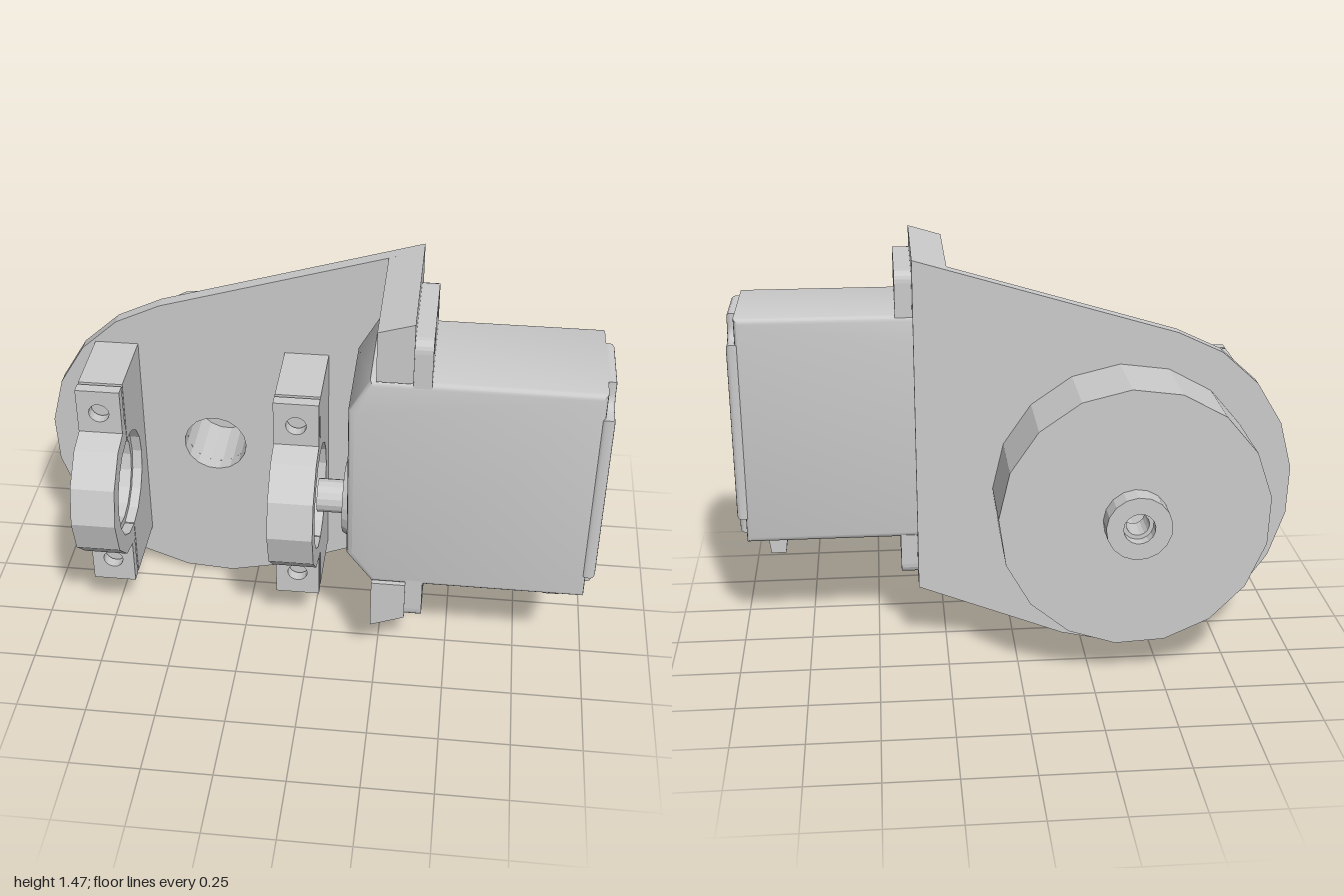
import * as THREE from 'three';
import { toCreasedNormals } from 'three/addons/utils/BufferGeometryUtils.js';

const material = new THREE.MeshStandardMaterial({ color: 0xcccccc, flatShading: true });
const smooth = new THREE.MeshStandardMaterial({ color: 0xcccccc });
const AX = -0.395, AY = 0.61; // wheel axis
const SZ = 0.2;               // shaft axis z (its y is AY)

const shapeOf = pts => new THREE.Shape(pts.map(p => new THREE.Vector2(...p)));
const rect = (x0, y0, x1, y1) => shapeOf([[x0, y0], [x1, y0], [x1, y1], [x0, y1]]);

// points along an arc, angles in degrees
function arc(cx, cy, r, a0, a1, n) {
  return Array.from({ length: n + 1 }, (_, i) => {
    const a = THREE.MathUtils.degToRad(a0 + (a1 - a0) * i / n);
    return [cx + r * Math.cos(a), cy + r * Math.sin(a)];
  });
}
const circle = (cx, cy, r, n = 16) => shapeOf(arc(cx, cy, r, 0, 360 - 360 / n, n - 1));

function withHoles(shape, ...holes) {
  shape.holes.push(...holes);
  return shape;
}

// extrude an (x, y) shape from z0 to z1
function extrudeZ(shape, z0, z1, options = {}) {
  return new THREE.ExtrudeGeometry(shape, { depth: z1 - z0, bevelEnabled: false, curveSegments: 5, ...options })
    .translate(0, 0, z0);
}

// extrude a (z, y) shape from x0 to x1
function extrudeX(shape, x0, x1, options = {}) {
  return new THREE.ExtrudeGeometry(shape, { depth: x1 - x0, bevelEnabled: false, curveSegments: 5, ...options })
    .rotateY(-Math.PI / 2).translate(x1, 0, 0);
}

function add(parent, name, geometry, mat = material) {
  const mesh = new THREE.Mesh(geometry, mat);
  mesh.name = name;
  parent.add(mesh);
  return mesh;
}

// split bearing clamp: base block, half-ring cap, screw ears and inner lip
function createClamp(x0, x1) {
  const clamp = new THREE.Group();
  clamp.name = 'bearingClamp';
  const bore = 0.19;
  add(clamp, 'clampBase', extrudeX(shapeOf([
    [-0.065, 0.19], [SZ, 0.19], ...arc(SZ, AY, bore, 270, 90, 8), [SZ, 1.03], [-0.065, 1.03],
  ]), x0, x1));
  add(clamp, 'clampCap', extrudeX(shapeOf([
    ...arc(SZ + 0.005, AY, 0.26, -90, 90, 6), ...arc(SZ + 0.005, AY, bore, 90, -90, 8),
  ]), x0, x1));
  const xm = (x0 + x1) / 2;
  for (const [y0, y1, hy] of [[0.19, 0.36, 0.285], [0.86, 1.03, 0.94]]) {
    add(clamp, 'clampEar', extrudeZ(
      withHoles(rect(x0, y0, x1, y1), circle(xm, hy, 0.036)), 0.213, 0.253));
  }
  add(clamp, 'boreLip', extrudeX(
    withHoles(circle(SZ, AY, bore + 0.005), circle(SZ, AY, 0.165)), x0 + 0.035, x1 - 0.035));
  return clamp;
}

function createMotor() {
  const motor = new THREE.Group();
  motor.name = 'motor';

  // housing with a tapered output end
  const housing = extrudeZ(shapeOf([
    [0.23, 0.4], [0.97, 0.4], [0.97, 1.245], [0.21, 1.245], [0.14, 1.12], [0.14, 0.52],
  ]), 0.015, 0.39, { bevelEnabled: true, bevelThickness: 0.02, bevelSize: 0.02, bevelOffset: -0.02, bevelSegments: 3 });
  add(motor, 'housing', toCreasedNormals(housing, 0.6), smooth);

  // end cap with notched corners
  const cap = new THREE.Shape();
  const z0 = -0.002, z1 = 0.412, y0 = 0.402, y1 = 1.243, n = 0.09;
  cap.moveTo(z0 + n, y0);
  cap.lineTo(z1 - n, y0);
  cap.lineTo(z1 - n, y0 + n / 2);
  cap.quadraticCurveTo(z1 - n, y0 + n, z1 - n / 2, y0 + n);
  cap.lineTo(z1, y0 + n);
  cap.lineTo(z1, y1 - n);
  cap.lineTo(z1 - n / 2, y1 - n);
  cap.quadraticCurveTo(z1 - n, y1 - n, z1 - n, y1 - n / 2);
  cap.lineTo(z1 - n, y1);
  cap.lineTo(z0 + n, y1);
  cap.lineTo(z0 + n, y1 - n / 2);
  cap.quadraticCurveTo(z0 + n, y1 - n, z0 + n / 2, y1 - n);
  cap.lineTo(z0, y1 - n);
  cap.lineTo(z0, y0 + n);
  cap.lineTo(z0 + n / 2, y0 + n);
  cap.quadraticCurveTo(z0 + n, y0 + n, z0 + n, y0 + n / 2);
  cap.closePath();
  const capGeometry = extrudeX(cap, 0.97, 0.985,
    { bevelEnabled: true, bevelThickness: 0.015, bevelSize: 0.015, bevelOffset: -0.015, bevelSegments: 3 });
  add(motor, 'endCap', toCreasedNormals(capGeometry, 0.6), smooth);

  // mounting tabs, rounded on their outer corners
  for (const [edge, inner, holeY] of [[1.4, 1.23, 1.35], [0.25, 0.42, 0.295]]) {
    const s = Math.sign(edge - inner), r = 0.04;
    const tab = new THREE.Shape();
    tab.moveTo(0, inner);
    tab.lineTo(0.41, inner);
    tab.lineTo(0.41, edge - s * r);
    tab.quadraticCurveTo(0.41, edge, 0.41 - r, edge);
    tab.lineTo(r, edge);
    tab.quadraticCurveTo(0, edge, 0, edge - s * r);
    tab.closePath();
    withHoles(tab, circle(0.1, holeY, 0.044), circle(0.31, holeY, 0.044));
    add(motor, 'mountingTab', extrudeX(tab, 0.35, 0.41));
  }

  // output collar and shaft
  const collar = add(motor, 'outputCollar', new THREE.CylinderGeometry(0.125, 0.15, 0.04, 20).rotateZ(Math.PI / 2));
  collar.position.set(0.135, AY, SZ);
  const shaft = add(motor, 'outputShaft', new THREE.CylinderGeometry(0.06, 0.06, 0.14, 16).rotateZ(Math.PI / 2));
  shaft.position.set(0.09, AY, SZ);

  // tapered cable outlet
  add(motor, 'cableOutlet', extrudeZ(shapeOf([
    [0.84, 0.295], [0.895, 0.295], [0.91, 0.41], [0.825, 0.41],
  ]), 0.13, 0.28));
  return motor;
}

export function createModel() {
  const model = new THREE.Group();
  model.name = 'motorWheelMount';

  // teardrop back plate with a bore on the wheel axis
  const plate = shapeOf([...arc(AX, AY, 0.61, 107, 291, 11), [0.35, 0.25], [0.35, 1.47]]);
  add(model, 'backPlate', extrudeZ(withHoles(plate, circle(AX, AY, 0.115, 17)), -0.115, -0.065));

  // flange blocks above and below the motor opening
  add(model, 'upperFlange', extrudeZ(
    shapeOf([[0.23, 1.25], [0.35, 1.25], [0.35, 1.47], [0.23, 1.434]]), -0.115, 0.415));
  add(model, 'lowerFlange', extrudeZ(
    shapeOf([[0.23, 0.204], [0.35, 0.25], [0.35, 0.4], [0.23, 0.4]]), -0.115, 0.415));

  // wheel drum with hub and stepped bore
  const profile = [
    [0.115, 0.115], [0.475, 0.115], [0.475, 0.395], [0.115, 0.395], [0.115, 0.47], [0.055, 0.47],
    [0.055, 0.43], [0.04, 0.43], [0.04, 0.33], [0.115, 0.33], [0.115, 0.115],
  ].map(p => new THREE.Vector2(...p));
  const drum = add(model, 'wheelDrum',
    new THREE.LatheGeometry(profile, 17, THREE.MathUtils.degToRad(3)).rotateX(-Math.PI / 2));
  drum.position.set(AX, AY, 0);

  model.add(createClamp(-0.815, -0.66), createClamp(-0.13, 0.028), createMotor());
  return model;
}
